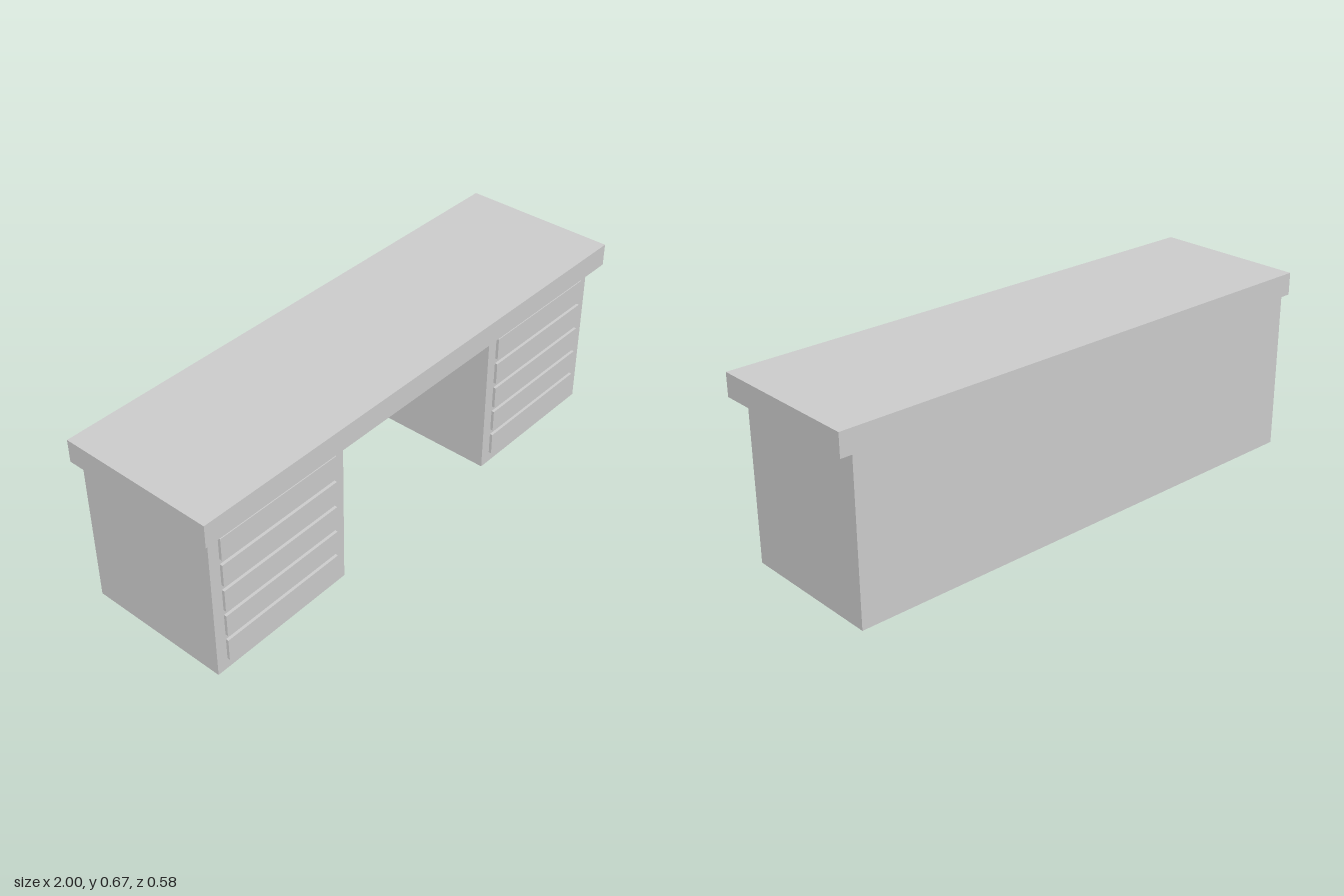
import * as THREE from 'three';

const material = new THREE.MeshStandardMaterial({ color: 0xcccccc, flatShading: true });
const U = 2 / 48; // design unit: the desk is 48 units long

// Box given by its minimum and maximum corners, in design units
function box(name, [x0, y0, z0], [x1, y1, z1]) {
  const geometry = new THREE.BoxGeometry((x1 - x0) * U, (y1 - y0) * U, (z1 - z0) * U);
  const mesh = new THREE.Mesh(geometry, material);
  mesh.position.set((x0 + x1) / 2 * U, (y0 + y1) / 2 * U, (z0 + z1) / 2 * U);
  mesh.name = name;
  return mesh;
}

// Cabinet with a column of five drawer fronts, centred on its own x = 0
function createPedestal(name) {
  const pedestal = new THREE.Group();
  pedestal.name = name;
  pedestal.add(box('cabinet', [-7, 0, -7], [7, 14, 6]));
  for (let i = 0; i < 5; i++) {
    const y = 1 + i * 2.5;
    pedestal.add(box(`drawerFront${i + 1}`, [-6, y, 6], [6, y + 2, 6.25]));
  }
  return pedestal;
}

export function createModel() {
  const desk = new THREE.Group();
  desk.name = 'desk';

  // Top overhanging the front and both ends, flush at the back
  desk.add(box('desktop', [-24, 14, -7], [24, 16, 7]));

  // Drawer pedestals on either side of the knee space
  for (const [name, side] of [['leftPedestal', 1], ['rightPedestal', -1]]) {
    const pedestal = createPedestal(name);
    pedestal.position.x = side * 16 * U;
    desk.add(pedestal);
  }

  // Panel closing the back of the knee space
  desk.add(box('backPanel', [-9, 0, -7], [9, 14, -6]));

  return desk;
}
